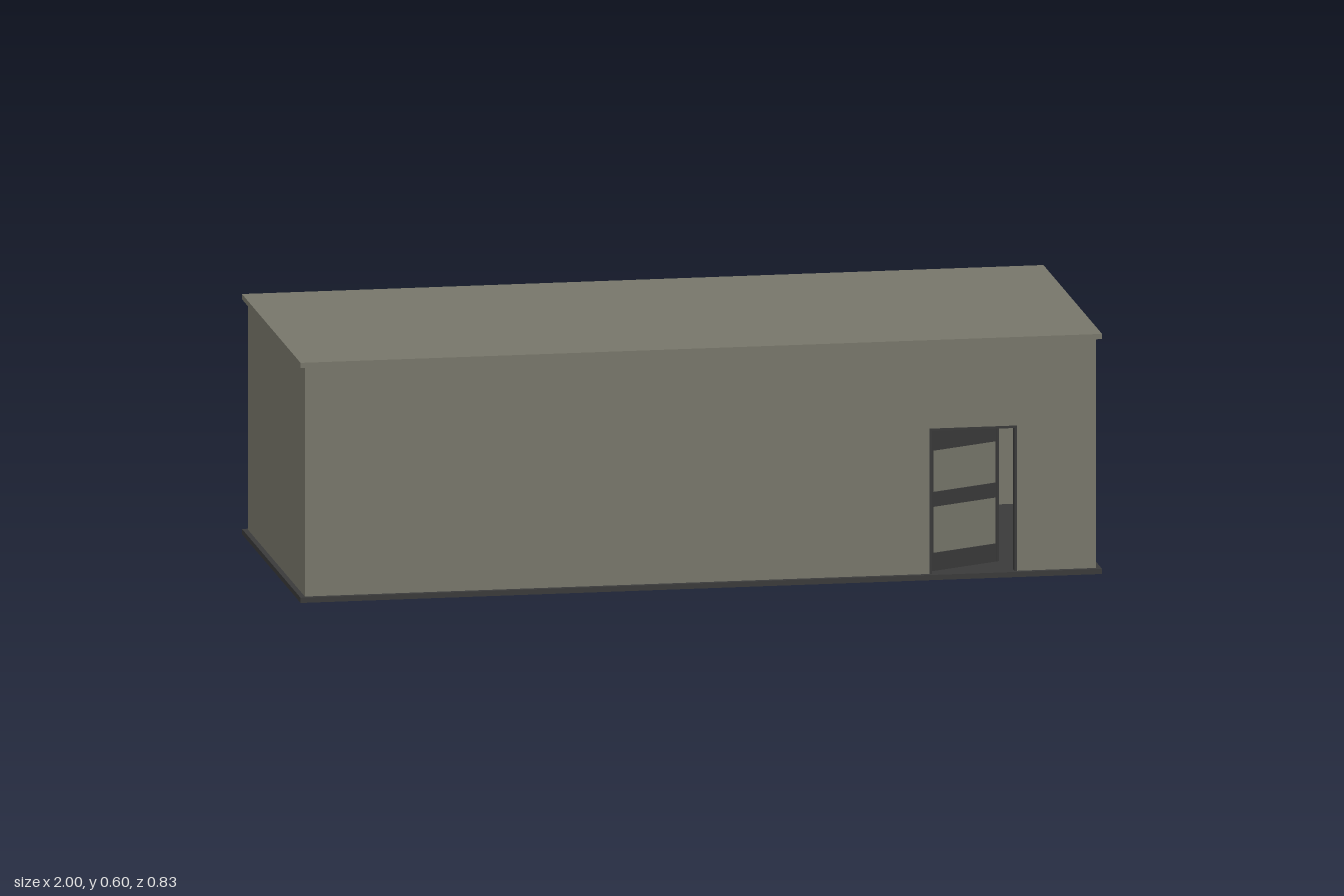
import * as THREE from 'three';

export function createModel() {
  const model = new THREE.Group();
  const olive = new THREE.MeshStandardMaterial({ name: 'olive', color: 0x77766a });
  const charcoal = new THREE.MeshStandardMaterial({ name: 'charcoal', color: 0x3a3a3a });

  // Box given by its low and high corners
  const box = (name, mat, [x0, y0, z0], [x1, y1, z1], parent = model) => {
    const mesh = new THREE.Mesh(new THREE.BoxGeometry(x1 - x0, y1 - y0, z1 - z0), mat);
    mesh.position.set((x0 + x1) / 2, (y0 + y1) / 2, (z0 + z1) / 2);
    mesh.name = name;
    parent.add(mesh);
    return mesh;
  };

  const X = 0.987, Z = 0.404, T = 0.02; // wall half-sizes and thickness
  const floorY = 0.013, eaveY = 0.59;
  const doorL = 0.572, doorR = 0.79, doorTop = 0.378;

  // Base and roof slabs overhang the walls
  box('base', charcoal, [-1, 0, -0.417], [1, floorY, 0.417]);
  box('roof', olive, [-1, eaveY, -0.417], [1, 0.603, 0.417]);

  // Hollow room: three plain walls and a front wall with a doorway
  box('backWall', olive, [-X, floorY, -Z], [X, eaveY, -Z + T]);
  for (const s of [-1, 1]) {
    const wall = box('sideWall', olive, [-T / 2, floorY, -Z + T], [T / 2, eaveY, Z - T]);
    wall.position.x = s * (X - T / 2);
  }
  const outline = new THREE.Shape([
    [-X, floorY], [doorL, floorY], [doorL, doorTop], [doorR, doorTop],
    [doorR, floorY], [X, floorY], [X, eaveY], [-X, eaveY],
  ].map(([x, y]) => new THREE.Vector2(x, y)));
  const front = new THREE.Mesh(new THREE.ExtrudeGeometry(outline, { depth: T, bevelEnabled: false }), olive);
  front.position.z = Z - T;
  front.name = 'frontWall';
  model.add(front);

  // Door frame lining the doorway
  const frame = new THREE.Group();
  frame.name = 'doorFrame';
  model.add(frame);
  const back = Z - T - 0.005, face = Z + 0.001, w = 0.006;
  box('leftJamb', charcoal, [doorL, floorY, back], [doorL + w, doorTop, face], frame);
  box('rightJamb', charcoal, [doorR - w, floorY, back], [doorR, doorTop, face], frame);
  box('lintel', charcoal, [doorL + w, doorTop - w, back], [doorR - w, doorTop, face], frame);

  // Door standing ajar, hinged on the jamb nearer the middle and swung inward
  const door = new THREE.Group();
  door.name = 'door';
  door.position.set(doorL + w, floorY, Z - T);
  door.rotation.y = 0.46;
  model.add(door);
  const W = 0.208, H = 0.358, D = 0.012;
  box('doorPanel', olive, [0.005, 0.03, -D + 0.003], [W - 0.005, H - 0.03, -0.003], door);
  for (const [y0, y1] of [[0.002, 0.047], [0.163, 0.2], [0.304, H]])
    box('doorRail', charcoal, [0, y0, -D], [W, y1, 0], door);
  for (const x of [0, W - 0.008])
    box('doorStile', charcoal, [x, 0.002, -D - 0.0005], [x + 0.008, H, 0.0005], door);

  return model;
}
